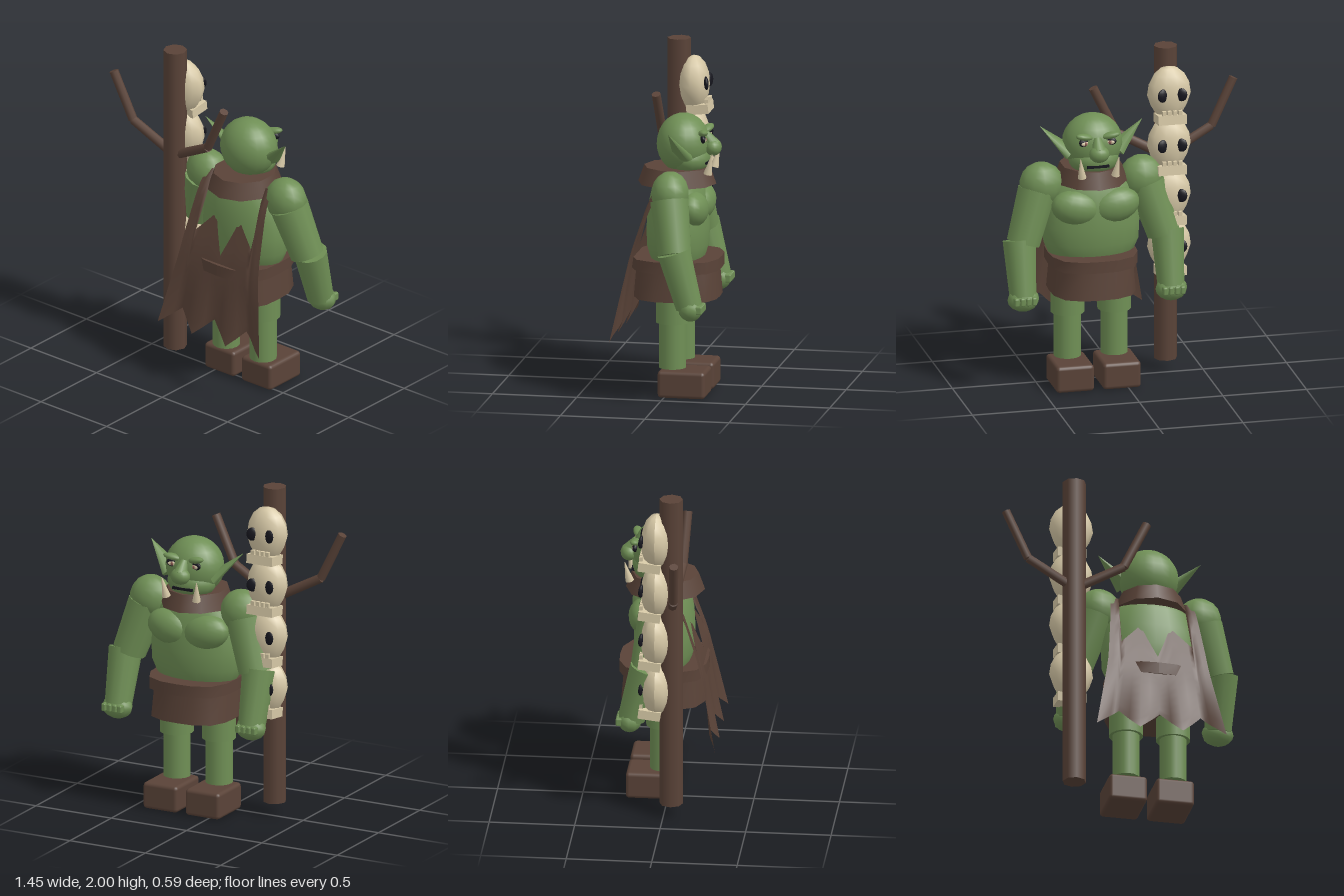
import * as THREE from 'three';
import { RoundedBoxGeometry } from 'three/addons/geometries/RoundedBoxGeometry.js';

const mat = (name, color, side = THREE.FrontSide) => {
  const m = new THREE.MeshStandardMaterial({ color, side });
  m.name = name;
  return m;
};

export function createModel() {
  const skin = mat('green skin', 0x6f8f55);
  const leather = mat('brown leather', 0x5a4338, THREE.DoubleSide);
  const bone = mat('bone', 0xd6c8a6);
  const black = mat('black', 0x16161e);
  const iris = mat('dull red iris', 0x8a5a50);

  const root = new THREE.Group();
  const ogre = new THREE.Group();
  ogre.name = 'ogre';
  ogre.position.x = 0.18;
  root.add(ogre);

  const add = (parent, name, geo, material, p = [0, 0, 0], r = [0, 0, 0]) => {
    const m = new THREE.Mesh(geo, material);
    m.name = name;
    m.position.set(...p);
    m.rotation.set(...r);
    parent.add(m);
    return m;
  };
  const ball = (rx, ry, rz, w = 16, h = 12) => new THREE.SphereGeometry(1, w, h).scale(rx, ry, rz);
  // tapered round bar from a to b
  const bar = (parent, name, material, a, b, ra, rb, sides = 12) => {
    const A = new THREE.Vector3(...a), B = new THREE.Vector3(...b);
    const d = B.clone().sub(A);
    const m = add(parent, name, new THREE.CylinderGeometry(rb, ra, d.length(), sides), material);
    m.position.copy(A).add(B).multiplyScalar(0.5);
    m.quaternion.setFromUnitVectors(new THREE.Vector3(0, 1, 0), d.normalize());
    return m;
  };
  // linear interpolation through [key, value] pairs with rising keys
  const lerpTable = (t, k) => {
    for (let i = 1; i < t.length; i++) {
      if (k <= t[i][0]) {
        const [k0, v0] = t[i - 1], [k1, v1] = t[i];
        return v0 + (v1 - v0) * Math.max(0, (k - k0) / (k1 - k0));
      }
    }
    return t[t.length - 1][1];
  };

  // pole with forked branches
  add(root, 'pole', new THREE.CylinderGeometry(0.069, 0.069, 1.92, 8), leather, [-0.286, 1.04, 0.044]);
  for (const s of [-1, 1]) {
    const elbow = [-0.286 + s * 0.285, 1.47, 0.085];
    bar(root, 'lowerBranch', leather, [-0.286, 1.32, 0.05], elbow, 0.029, 0.027, 8);
    bar(root, 'upperBranch', leather, elbow, [-0.286 + s * 0.42, 1.75, 0.1], 0.027, 0.027, 8);
  }

  // stacked skulls
  const cranium = ball(0.131, 0.17, 0.092, 10, 8);
  const cp = cranium.attributes.position;
  for (let i = 0; i < cp.count; i++) {
    const k = 1 - 0.25 * Math.max(0, -cp.getY(i) / 0.17);
    cp.setX(i, cp.getX(i) * k);
  }
  cranium.computeVertexNormals();
  for (let i = 0; i < 4; i++) {
    const skull = new THREE.Group();
    skull.name = 'skull';
    skull.position.set(-0.286, 1.73 - i * 0.31, -0.043);
    root.add(skull);
    add(skull, 'cranium', cranium, bone);
    add(skull, 'jaw', new THREE.BoxGeometry(0.17, 0.055, 0.13), bone, [0, -0.14, -0.035], [0.12, 0, 0]);
    for (let t = 0; t < 4; t++)
      add(skull, 'tooth', new THREE.BoxGeometry(0.022, 0.04, 0.02), bone, [-0.048 + t * 0.032, -0.1, -0.085]);
    for (const s of [-1, 1])
      add(skull, 'eyeSocket', ball(0.034, 0.04, 0.014, 10, 8), black, [s * 0.056, 0.015, -0.083], [0.05, s * 0.3, 0]);
  }

  // torso and chest
  const torso = [[0.2, 0.74], [0.25, 0.8], [0.285, 0.88], [0.29, 0.98], [0.28, 1.1], [0.24, 1.22], [0.16, 1.31], [0.001, 1.34]]
    .map(p => new THREE.Vector2(...p));
  add(ogre, 'torso', new THREE.LatheGeometry(torso, 20).scale(1, 1, 0.62), skin, [0, 0, -0.04]);
  for (const s of [-1, 1])
    add(ogre, 'chestMuscle', ball(0.15, 0.105, 0.09), skin, [s * 0.115, 1.11, -0.15], [0, 0, s * 0.2]);

  // belt and skirt
  const squarish = geo => {
    const p = geo.attributes.position;
    for (let i = 0; i < p.count; i++) {
      const a = Math.abs(p.getX(i)), b = Math.abs(p.getZ(i)), r = Math.hypot(a, b);
      if (r < 1e-6) continue;
      const k = r / Math.cbrt(a ** 3 + b ** 3);
      p.setXYZ(i, p.getX(i) * k, p.getY(i), p.getZ(i) * k);
    }
    geo.computeVertexNormals();
    return geo;
  };
  add(ogre, 'belt', squarish(new THREE.CylinderGeometry(0.26, 0.26, 0.07, 16)), leather, [0, 0.78, -0.04]);
  add(ogre, 'skirt', squarish(new THREE.CylinderGeometry(0.235, 0.25, 0.175, 16)), leather, [0, 0.662, -0.04]);
  add(ogre, 'capeClasp', new THREE.CylinderGeometry(0.042, 0.03, 0.07, 4, 1, false, Math.PI / 4), leather, [0, 0.78, 0.188]);

  for (const s of [-1, 1]) {
    // leg
    bar(ogre, 'thigh', skin, [s * 0.14, 0.44, -0.035], [s * 0.14, 0.62, -0.035], 0.1, 0.1, 16);
    bar(ogre, 'shin', skin, [s * 0.14, 0.17, -0.033], [s * 0.14, 0.5, -0.033], 0.08, 0.08, 16);
    add(ogre, 'boot', new RoundedBoxGeometry(0.228, 0.16, 0.282, 2, 0.022), leather, [s * 0.14, 0.085, -0.104]);

    // arm
    add(ogre, 'shoulder', ball(0.133, 0.135, 0.112, 12, 9), skin, [s * 0.3, 1.235, -0.05]);
    bar(ogre, 'upperArm', skin, [s * 0.325, 1.2, -0.05], [s * 0.42, 0.9, -0.1], 0.115, 0.1, 12);
    bar(ogre, 'forearm', skin, [s * 0.443, 0.92, -0.1], [s * 0.443, 0.6, -0.19], 0.1, 0.08, 12);
    add(ogre, 'hand', ball(0.095, 0.072, 0.072, 10, 8), skin, [s * 0.443, 0.588, -0.2]);
    for (let f = 0; f < 4; f++)
      add(ogre, 'finger', new RoundedBoxGeometry(0.03, 0.05, 0.045, 1, 0.01), skin, [s * (0.392 + f * 0.035), 0.592, -0.256]);
  }

  // collar
  add(ogre, 'collar', new THREE.CylinderGeometry(0.19, 0.225, 0.1, 10).scale(0.95, 1, 1.03), leather, [0, 1.292, -0.035]);

  // cape with ragged upper and lower edges
  const topY = [[0, 0.865], [0.33, 1.09], [0.74, 0.96], [0.8, 1.3], [1, 1.3]];
  const lowY = [[0, 0.47], [1 / 3, 0.355], [2 / 3, 0.47], [1, 0.355]];
  const halfWidth = [[0.355, 0.387], [0.8, 0.3], [1.3, 0.245]];
  const depth = [[0.355, 0.295], [0.6, 0.245], [0.87, 0.188], [1.2, 0.08], [1.3, 0.01]];
  const us = [0, 1 / 6, 0.33, 0.5, 2 / 3, 0.74, 0.8, 0.9, 1];
  const cols = [...us.slice(1).reverse().map(u => -u), ...us];
  const rows = 12, pos = [], idx = [];
  cols.forEach((u, i) => {
    const a = Math.abs(u), lo = lerpTable(lowY, a), hi = lerpTable(topY, a);
    for (let j = 0; j <= rows; j++) {
      const y = lo + (hi - lo) * j / rows;
      const wave = 0.045 * (1 + Math.cos(3 * Math.PI * u)) / 2 * Math.max(0, 1 - (y - 0.35) / 0.4);
      pos.push(u * lerpTable(halfWidth, y), y, lerpTable(depth, y) - wave);
      if (i && j) {
        const d = i * (rows + 1) + j, c = d - rows - 1;
        idx.push(c - 1, d - 1, d, c - 1, d, c);
      }
    }
  });
  const cape = new THREE.BufferGeometry();
  cape.setAttribute('position', new THREE.Float32BufferAttribute(pos, 3));
  cape.setIndex(idx);
  cape.computeVertexNormals();
  add(ogre, 'cape', cape, leather);

  // head
  const head = new THREE.Group();
  head.name = 'head';
  ogre.add(head);
  add(head, 'skullDome', ball(0.178, 0.175, 0.155, 20, 14), skin, [0, 1.48, -0.07]);
  add(head, 'jaw', ball(0.15, 0.1, 0.125), skin, [0, 1.395, -0.105]);
  bar(head, 'noseBridge', skin, [0, 1.54, -0.2], [0, 1.47, -0.25], 0.025, 0.045);
  add(head, 'noseTip', ball(0.06, 0.05, 0.05), skin, [0, 1.46, -0.248]);
  add(head, 'mouth', new THREE.BoxGeometry(0.13, 0.016, 0.04), black, [0, 1.375, -0.208]);
  for (const s of [-1, 1]) {
    add(head, 'brow', ball(0.06, 0.02, 0.03, 12, 8), skin, [s * 0.075, 1.555, -0.2], [0, s * 0.3, s * 0.2]);
    add(head, 'eyeRim', ball(0.04, 0.027, 0.018, 12, 8), black, [s * 0.075, 1.522, -0.198], [0, s * 0.4, 0]);
    add(head, 'eyeball', ball(0.028, 0.015, 0.012, 12, 8), bone, [s * 0.075, 1.518, -0.208], [0, s * 0.4, 0]);
    add(head, 'iris', ball(0.01, 0.011, 0.006, 8, 6), iris, [s * 0.073, 1.518, -0.218]);
    bar(head, 'tusk', bone, [s * 0.1, 1.32, -0.235], [s * 0.115, 1.44, -0.262], 0.026, 0.002, 8);

    // pointed ear
    const ear = new THREE.ConeGeometry(0.075, 0.24, 8).scale(1, 1, 0.42);
    const m = add(head, 'ear', ear, skin, [s * 0.222, 1.51, -0.065]);
    const up = new THREE.Vector3(s * 0.165, 0.155, 0.05).normalize();
    const flat = new THREE.Vector3(s * 0.55, -0.6, 0.35);
    const side = new THREE.Vector3().crossVectors(up, flat).normalize();
    const nz = new THREE.Vector3().crossVectors(side, up);
    m.quaternion.setFromRotationMatrix(new THREE.Matrix4().makeBasis(side, up, nz));
  }
  return root;
}
